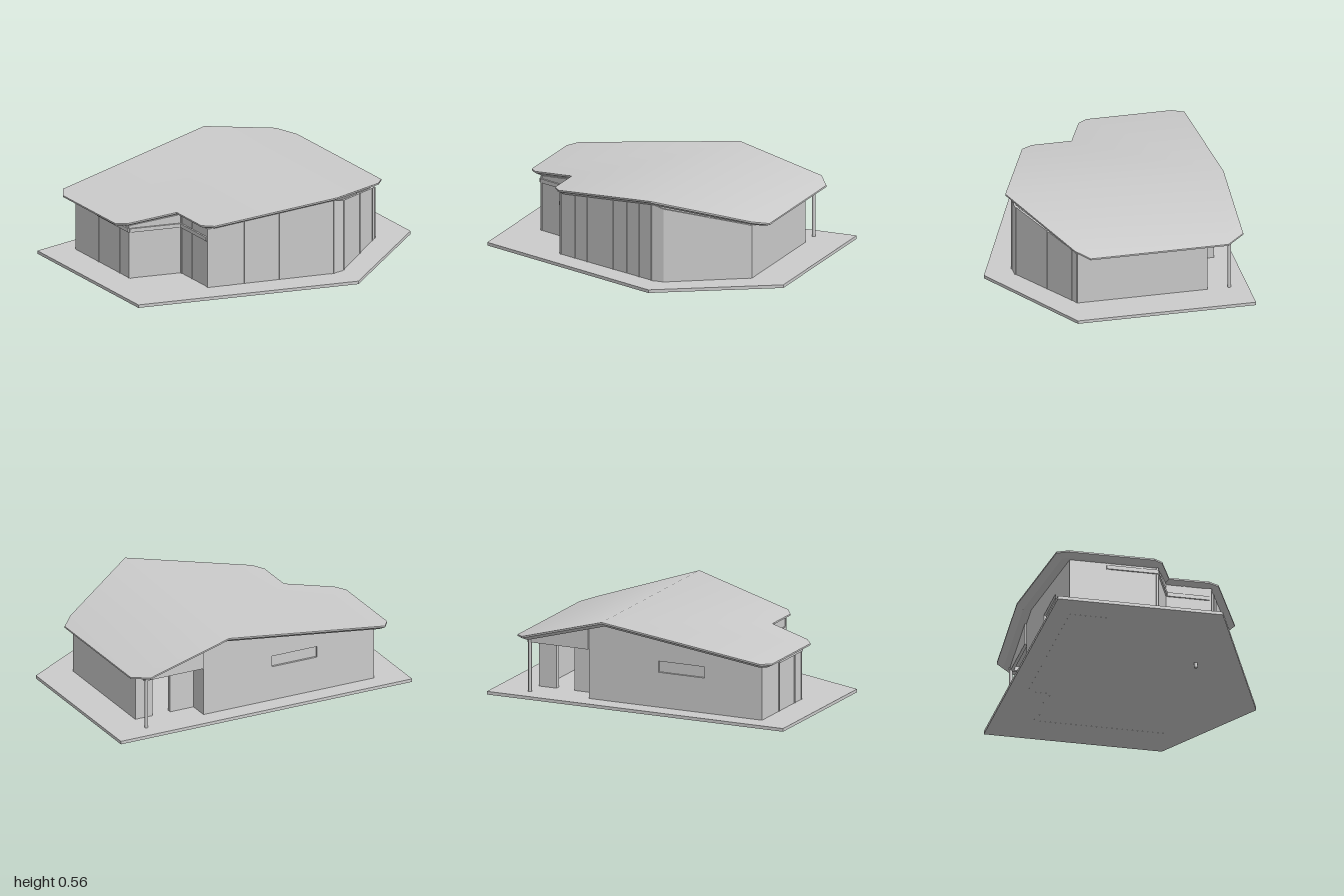
import * as THREE from 'three';

const mat = new THREE.MeshStandardMaterial({ color: 0xcccccc });
const RIDGE_Z = -0.24, FLOOR = 0.05, ROOF_T = 0.035;

// Height of the two-slope roof at a given depth
const roofY = z => z > RIDGE_Z
  ? 0.565 - (z - RIDGE_Z) * 0.13
  : 0.565 + (z - RIDGE_Z) * 0.28;
const wallTop = z => roofY(z) - ROOF_T + 0.003;

function add(group, name, geo) {
  const m = new THREE.Mesh(geo, mat);
  m.name = name;
  group.add(m);
  return m;
}

function geometry(points, index, smooth) {
  let g = new THREE.BufferGeometry();
  g.setAttribute('position', new THREE.Float32BufferAttribute(points.flat(), 3));
  g.setIndex(index);
  if (!smooth) g = g.toNonIndexed();
  g.computeVertexNormals();
  return g;
}

// Moves every corner of an [x, z] outline inwards by d
function inset(poly, d) {
  const n = poly.length;
  return poly.map(([x, z], i) => {
    const p = poly[(i + n - 1) % n], q = poly[(i + 1) % n];
    const e = new THREE.Vector2(x - p[0], z - p[1]).normalize();
    const f = new THREE.Vector2(q[0] - x, q[1] - z).normalize();
    const k = d / (1 + e.dot(f));
    return [x - (e.y + f.y) * k, z + (e.x + f.x) * k];
  });
}

// Upright panel from a to b; the inside lies at depth t behind the outer face
function panel(a, b, t, y0, top, out = 0) {
  const dx = b[0] - a[0], dz = b[1] - a[1], l = Math.hypot(dx, dz);
  const n = [-dz / l, dx / l];
  const at = (p, s) => [p[0] + n[0] * s, p[1] + n[1] * s];
  const ring = [at(a, -out), at(b, -out), at(b, t), at(a, t)];
  const pts = [...ring.map(([x, z]) => [x, top(z), z]), ...ring.map(([x, z]) => [x, y0, z])];
  const idx = [0, 2, 1, 0, 3, 2, 4, 5, 6, 4, 6, 7];
  for (let i = 0; i < 4; i++) {
    const j = (i + 1) % 4;
    idx.push(i, j, j + 4, i, j + 4, i + 4);
  }
  return geometry(pts, idx);
}

const mix = (a, b, t) => [a[0] + (b[0] - a[0]) * t, a[1] + (b[1] - a[1]) * t];

// Run of panes with a slim mullion at each joint
function glazing(group, name, a, b, joints, top = wallTop) {
  add(group, name, panel(a, b, 0.012, FLOOR, top));
  const half = 0.004 / Math.hypot(b[0] - a[0], b[1] - a[1]);
  for (const t of joints) {
    add(group, name + 'Mullion',
      panel(mix(a, b, t - half), mix(a, b, t + half), 0.02, FLOOR, top, 0.004));
  }
}

function buildRoof(group) {
  const outline = [
    [-0.74, RIDGE_Z], [-0.74, -0.78], [-0.63, -0.86], [0.23, -0.86], [0.31, -0.78], [0.62, RIDGE_Z],
    [0.35, 0.49], [0.28, 0.54], [0.03, 0.54], [-0.08, 0.83], [-0.14, 0.88], [-0.67, 0.88], [-0.74, 0.83],
  ];
  const n = outline.length;
  // Each slope is triangulated by itself so the ridge stays an edge
  const slopes = [[0, 1, 2, 3, 4, 5], [0, 5, 6, 7, 8, 9, 10, 11, 12]];
  const tris = [];
  for (const s of slopes) {
    const contour = s.map(i => new THREE.Vector2(...outline[i]));
    for (const f of THREE.ShapeUtils.triangulateShape(contour, [])) tris.push(f.map(i => s[i]));
  }
  const raise = (poly, drop) => poly.map(([x, z]) => [x, roofY(z) - drop, z]);
  const top = raise(outline, 0);
  const edge = raise(outline, 0.01);
  const under = raise(inset(outline, 0.04), ROOF_T);
  add(group, 'roofTop', geometry(top, tris.flatMap(([a, b, c]) => [a, c, b]), true));

  // Fascia, sloped eave and ceiling
  const idx = [];
  for (let r = 0; r < 2; r++) {
    for (let i = 0; i < n; i++) {
      const j = (i + 1) % n, u = r * n, d = u + n;
      idx.push(u + i, u + j, d + j, u + i, d + j, d + i);
    }
  }
  for (const [a, b, c] of tris) idx.push(a + 2 * n, b + 2 * n, c + 2 * n);
  add(group, 'roofEavesAndCeiling', geometry([...top, ...edge, ...under], idx));
}

function buildSideWall(group) {
  // Profile in z and y with an opening for the strip window
  const s = new THREE.Shape([
    [-0.37, 0.0295], [0.8, 0.0295], [0.8, wallTop(0.8)], [RIDGE_Z, wallTop(RIDGE_Z)], [-0.37, wallTop(-0.37)],
  ].map(p => new THREE.Vector2(...p)));
  s.holes.push(new THREE.Path([[0.1, 0.27], [0.1, 0.34], [0.41, 0.34], [0.41, 0.27]]
    .map(p => new THREE.Vector2(...p))));
  const g = new THREE.ExtrudeGeometry(s, { depth: 0.03, bevelEnabled: false });
  g.rotateY(-Math.PI / 2);
  add(group, 'sideWall', g).position.x = -0.62;
  add(group, 'stripWindow', new THREE.BoxGeometry(0.008, 0.07, 0.31)).position.set(-0.632, 0.305, 0.255);
}

export function createModel() {
  const house = new THREE.Group();
  house.name = 'house';

  // Ground slab
  const slab = new THREE.Shape([[-0.77, -1], [0.34, -1], [0.765, -0.29], [0.26, 1], [-0.77, 1]]
    .map(([x, z]) => new THREE.Vector2(x, -z)));
  const slabGeo = new THREE.ExtrudeGeometry(slab, { depth: 0.02, bevelEnabled: false });
  slabGeo.rotateX(-Math.PI / 2);
  add(house, 'groundSlab', slabGeo).position.y = 0.03;
  add(house, 'drainPipe', new THREE.CylinderGeometry(0.012, 0.012, 0.03, 16)).position.set(0.255, 0.015, 0.285);

  buildRoof(house);

  // Solid walls
  const solid = (name, a, b) => add(house, name, panel(a, b, 0.03, 0.0295, wallTop));
  buildSideWall(house);
  solid('backWall', [-0.52, -0.77], [0.29, -0.77]);
  solid('frontWall', [-0.42, 0.8], [-0.65, 0.8]);
  solid('porchEndWall', [-0.65, -0.37], [-0.52, -0.37]);
  solid('porchWall', [-0.52, -0.37], [-0.52, -0.53]);
  solid('porchCornerWall', [-0.52, -0.65], [-0.52, -0.77]);

  // Glazed walls
  glazing(house, 'backGlazing', [0.29, -0.77], [0.58, -0.31], [0.02, 0.1, 0.48, 0.98]);
  glazing(house, 'gableCorner', [0.58, -0.31], [0.58, RIDGE_Z], [0.94]);
  glazing(house, 'gableGlazing', [0.58, RIDGE_Z], [0.3, 0.5], [0.02, 0.15, 0.285, 0.43, 0.71, 0.84, 0.99]);
  glazing(house, 'entranceGlazing', [0.3, 0.5], [0.02, 0.5], [0.02, 0.6, 0.98]);
  glazing(house, 'angledGlazing', [0.02, 0.5], [-0.1, 0.8], [0.02, 0.98]);
  glazing(house, 'frontGlazing', [-0.1, 0.8], [-0.42, 0.8], [0.02, 0.31, 0.98]);

  // Lintel band wrapping the front glazing
  const front = [[0.29, 0.5], [0.02, 0.5], [-0.1, 0.8], [-0.42, 0.8]];
  for (let i = 0; i < 3; i++) {
    add(house, 'lintel', panel(front[i], front[i + 1], 0.03, 0.355, () => 0.38, 0.01));
  }

  // Corner porch: post and beams
  const post = add(house, 'porchPost', new THREE.CylinderGeometry(0.011, 0.011, 0.33, 16));
  post.position.set(-0.655, FLOOR + 0.165, -0.765);
  add(house, 'porchSideBeam', panel([-0.66, -0.37], [-0.66, -0.78], 0.02, 0.36, wallTop));
  add(house, 'porchBackBeam', panel([-0.66, -0.77], [-0.52, -0.77], 0.02, 0.36, wallTop));
  return house;
}
